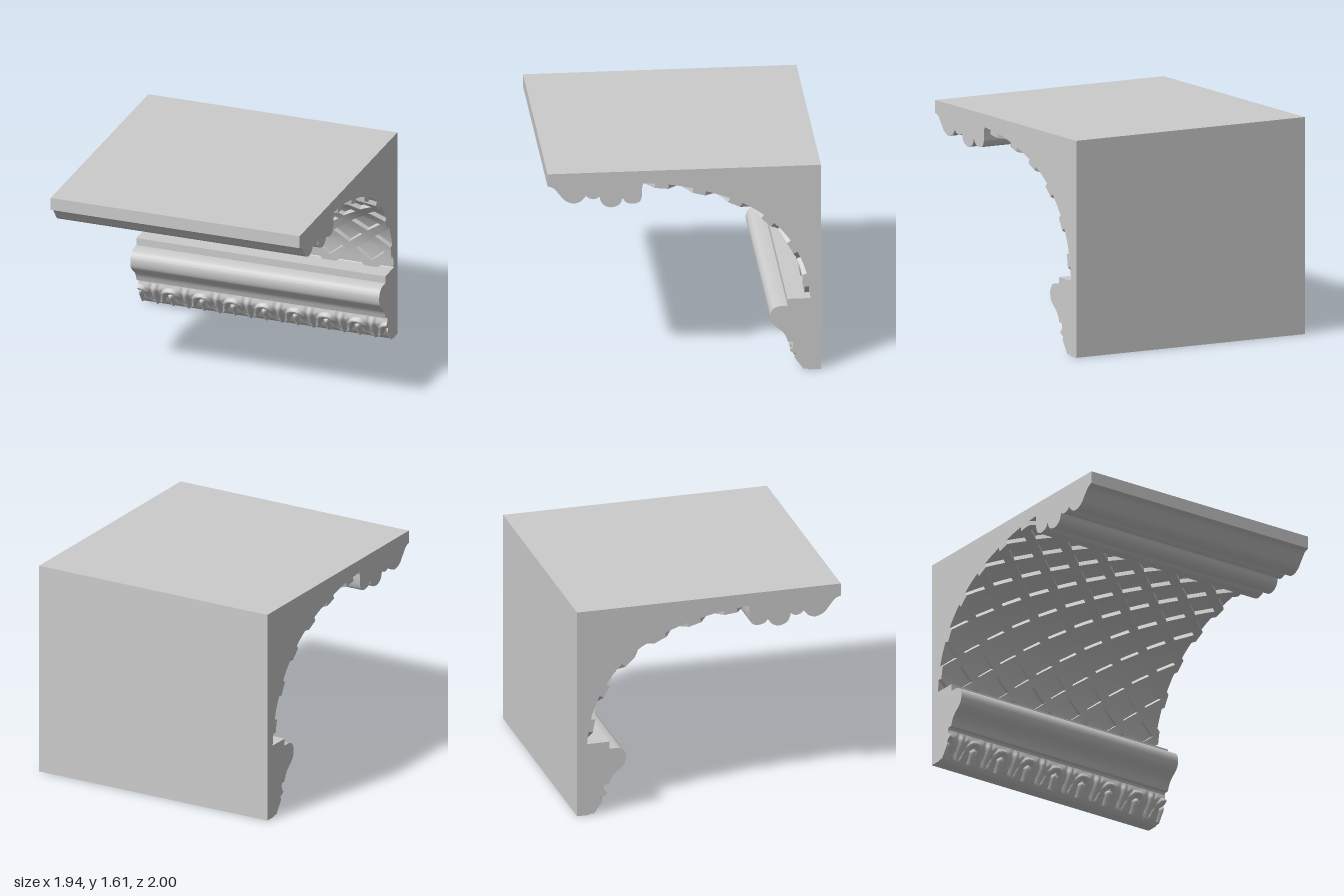
import * as THREE from 'three';
import { toCreasedNormals, mergeGeometries } from 'three/addons/utils/BufferGeometryUtils.js';

const HALF = 0.97; // half the length of the moulding
const DEPTH = 0.034; // lattice thickness
const ROWS = 12; // half-rows of lozenges up the cove
const V2 = (list) => list.map(([z, y]) => new THREE.Vector2(z, y));

// Visible face of the cove, from the bottom ledge to the top, as (z, y)
const cove = new THREE.SplineCurve(V2([
  [-0.89, 0.56], [-0.872, 0.7], [-0.835, 0.83], [-0.755, 0.99], [-0.65, 1.12],
  [-0.5, 1.245], [-0.3, 1.345], [-0.1, 1.41], [0.1, 1.455], [0.305, 1.475],
]));

// Point on the cove at fraction t of its length, sunk into the wall by d
function covePoint(t, d) {
  const p = cove.getPointAt(t), n = cove.getTangentAt(t);
  return new THREE.Vector2(p.x - n.y * d, p.y + n.x * d);
}

// Grid surface from fn(i, j) -> [x, y, z]
function sheet(nu, nv, fn) {
  const pos = [], index = [];
  for (let j = 0; j <= nv; j++) for (let i = 0; i <= nu; i++) pos.push(...fn(i, j));
  for (let j = 0; j < nv; j++) {
    for (let i = 0; i < nu; i++) {
      const a = j * (nu + 1) + i, b = a + nu + 1;
      index.push(a, b, a + 1, a + 1, b, b + 1);
    }
  }
  const g = new THREE.BufferGeometry();
  g.setAttribute('position', new THREE.Float32BufferAttribute(pos, 3));
  g.setIndex(index);
  return g;
}

// Solid body: the moulding section swept along x
function bodyGeometry() {
  const s = new THREE.Shape();
  const curve = (list) => s.splineThru(V2(list));
  s.moveTo(-1, 0).lineTo(-1, 1.605).lineTo(1, 1.605).lineTo(1, 1.51);
  // upper mouldings: ogee, small bead, two round beads
  curve([[0.96, 1.495], [0.92, 1.45], [0.88, 1.4], [0.84, 1.376], [0.8, 1.369], [0.755, 1.385], [0.72, 1.425]]);
  curve([[0.695, 1.405], [0.655, 1.397], [0.62, 1.415]]);
  curve([[0.607, 1.37], [0.58, 1.342], [0.54, 1.329], [0.495, 1.337], [0.465, 1.362], [0.452, 1.4]]);
  curve([[0.43, 1.368], [0.4, 1.354], [0.36, 1.352], [0.325, 1.368], [0.308, 1.41]]);
  s.lineTo(0.308, 1.475);
  // floor of the cove
  for (let i = 48; i >= 0; i--) {
    const p = covePoint(i / 48, DEPTH);
    s.lineTo(p.x, p.y);
  }
  // ledge, lower torus and ogee
  s.lineTo(-0.92, 0.56).lineTo(-0.755, 0.56).lineTo(-0.755, 0.505).lineTo(-0.7, 0.505);
  curve([[-0.66, 0.492], [-0.635, 0.46], [-0.629, 0.42], [-0.64, 0.375], [-0.67, 0.342], [-0.71, 0.31], [-0.74, 0.272], [-0.758, 0.225]]);
  // backing of the leaf band
  s.lineTo(-0.79, 0.225);
  curve([[-0.805, 0.19], [-0.83, 0.11], [-0.86, 0.055], [-0.885, 0.02], [-0.91, 0]]);
  const g = new THREE.ExtrudeGeometry(s, { depth: 2 * HALF, bevelEnabled: false, curveSegments: 4 });
  g.translate(0, 0, -HALF).rotateY(-Math.PI / 2);
  return toCreasedNormals(g, 0.5);
}

// Lattice: lozenge frames with sunken pockets, bent onto the cove
function latticeGeometry() {
  const parts = [];
  const cw = HALF / 6, ch = 1 / ROWS; // outer half-sizes
  const iw = 0.112, ih = ch * 0.65; // pocket half-sizes
  const at = (x, t, d) => {
    const p = covePoint(THREE.MathUtils.clamp(t, 0, 1), d);
    return [x, p.y, p.x];
  };
  for (let row = 0; row <= ROWS; row++) {
    const odd = row % 2;
    for (let j = -3; j <= 3 - odd; j++) {
      const cx = (2 * j + odd) * cw, ct = row * ch;
      for (const sx of [-1, 1]) {
        for (const sy of [-1, 1]) {
          // leave out the quarters that fall past the borders
          if (Math.abs(cx + sx * cw) > HALF + 1e-4) continue;
          if (ct + sy * ch < -1e-4 || ct + sy * ch > 1 + 1e-4) continue;
          parts.push(sheet(5, 2, (i, k) => {
            const u = sx * sy > 0 ? i / 5 : 1 - i / 5;
            const w = k ? iw : cw, h = k ? ih : ch;
            return at(cx + sx * w * u, ct + sy * h * (1 - u), k === 2 ? DEPTH : 0);
          }));
        }
      }
    }
  }
  // cut ends of the straps
  for (const side of [-1, 1]) {
    for (let row = 1; row < ROWS; row += 2) {
      parts.push(sheet(4, 1, (i, k) =>
        at(side * HALF, row * ch + (i / 2 - 1) * (ch - ih) * side, k * DEPTH)));
    }
  }
  return toCreasedNormals(mergeGeometries(parts), 0.5);
}

// Carved leaf band: arches round a tongue, with ribbed leaves between
function leafGeometry() {
  const pitch = HALF / 4, cols = 8 * 28, rows = 26;
  const front = new THREE.SplineCurve(V2([
    [-0.79, 0.225], [-0.787, 0.2], [-0.773, 0.155], [-0.787, 0.115], [-0.815, 0.07], [-0.84, 0.035], [-0.862, 0],
  ]));
  const bump = (d, r) => Math.max(0, 1 - (d / r) ** 2);
  const relief = (u, y) => {
    const r = y > 0.1 ? Math.hypot(u, y - 0.1) - 0.056 : u - 0.056 - (0.1 - y) * 0.3;
    const arch = bump(r, 0.03);
    const tongue = 0.8 * bump(Math.hypot(u, Math.max(0, y - 0.095)), 0.03);
    const v = pitch / 2 - u;
    const leaf = r > 0 ? 0.55 + 0.3 * bump(v, 0.018) - 0.25 * bump(v - 0.03, 0.012) : 0;
    const h = Math.max(arch, tongue, leaf);
    return THREE.MathUtils.lerp(h, 0.75, THREE.MathUtils.smoothstep(y, 0.165, 0.21));
  };
  const g = sheet(cols + 2, rows + 1, (i, j) => {
    const end = i === 0 || i === cols + 2; // closing columns inside the body
    const x = (THREE.MathUtils.clamp(i - 1, 0, cols) / cols * 2 - 1) * HALF;
    const u = Math.abs(x - Math.round(x / pitch) * pitch);
    const zig = 1 - Math.abs(u / (pitch / 4) - 1); // pointed lower edge
    const low = 0.008 + 0.036 * zig;
    const p = front.getPoint(Math.min(j, rows) / rows);
    const y = low + (p.y / 0.225) * (0.225 - low);
    const z = front.getPoint(Math.min(j, rows) / rows).x - 0.036 * (1 - relief(u, y));
    return [x, y, end ? -0.9 : j > rows ? z - 0.06 : z];
  });
  return toCreasedNormals(g, 0.9);
}

export function createModel() {
  const group = new THREE.Group();
  group.name = 'corniceMoulding';
  const solid = new THREE.MeshStandardMaterial({ color: 0xcccccc });
  const thin = new THREE.MeshStandardMaterial({ color: 0xcccccc, side: THREE.DoubleSide });
  const add = (name, geometry, material) => {
    const mesh = new THREE.Mesh(geometry, material);
    mesh.name = name;
    group.add(mesh);
  };
  add('mouldingBody', bodyGeometry(), solid);
  add('coveLattice', latticeGeometry(), thin);
  add('leafBand', leafGeometry(), thin);
  return group;
}
